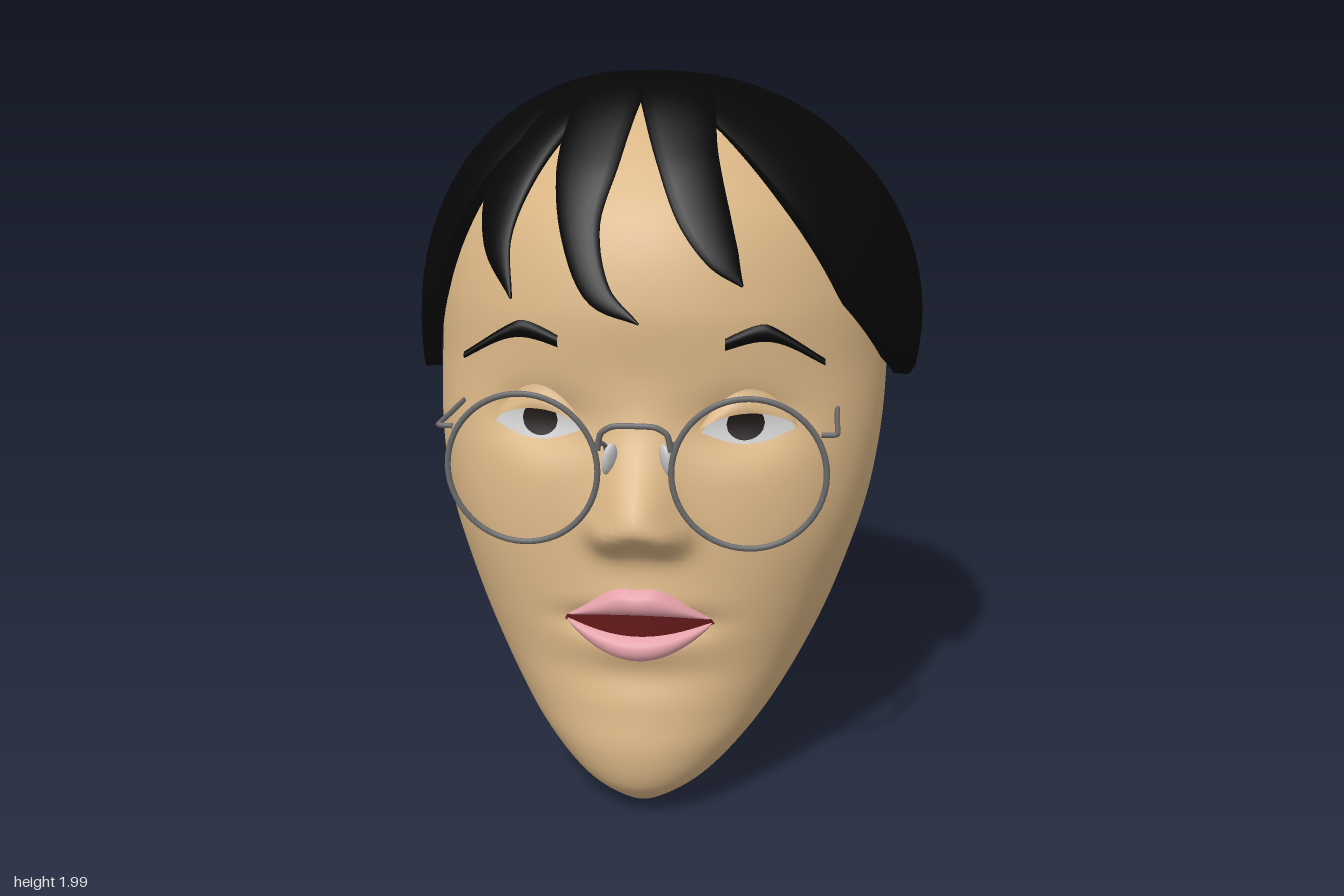
import * as THREE from 'three';
import { mergeVertices } from 'three/addons/utils/BufferGeometryUtils.js';

const material = (color) => new THREE.MeshStandardMaterial({ color, side: THREE.DoubleSide });
const skin = material(0xd9b585), black = material(0x060606), white = material(0xd8d8d8), iris = material(0x1c1412);
const lip = material(0xe3a0a8), mouthRed = material(0x621818), metal = material(0x6a6a6a), pad = material(0xc4c4c4);

function add(group, name, geometry, mat) {
  const mesh = new THREE.Mesh(geometry, mat);
  mesh.name = name;
  group.add(mesh);
  return mesh;
}

// Surface from a rule f(u, v) -> [x, y, z]
function grid(nu, nv, f) {
  const pos = [], index = [];
  for (let j = 0; j <= nv; j++) for (let i = 0; i <= nu; i++) pos.push(...f(i / nu, j / nv, i, j));
  for (let j = 0; j < nv; j++) for (let i = 0; i < nu; i++) {
    const a = j * (nu + 1) + i, c = a + nu + 1;
    index.push(a, a + 1, c, a + 1, c + 1, c);
  }
  const g = new THREE.BufferGeometry();
  g.setAttribute('position', new THREE.Float32BufferAttribute(pos, 3));
  g.setIndex(index);
  g.computeVertexNormals();
  return g;
}

// Interpolation of column k in a table sorted by its first column: smooth, or straight for sharp corners
function lookup(t, x, k = 1, straight = false) {
  let i = 0;
  while (i < t.length - 2 && x > t[i + 1][0]) i++;
  const h = t[i + 1][0] - t[i][0], s = Math.min(Math.max((x - t[i][0]) / h, 0), 1), s2 = s * s, s3 = s2 * s;
  if (straight) return t[i][k] + (t[i + 1][k] - t[i][k]) * s;
  const slope = (n) => {
    const a = t[Math.max(n - 1, 0)], b = t[Math.min(n + 1, t.length - 1)];
    return (b[k] - a[k]) / (b[0] - a[0]);
  };
  return (2 * s3 - 3 * s2 + 1) * t[i][k] + (s3 - 2 * s2 + s) * h * slope(i)
    + (3 * s2 - 2 * s3) * t[i + 1][k] + (s3 - s2) * h * slope(i + 1);
}

// Head sections: height, half width, front z, back z
const SECTIONS = [[0, 0, .48, .48], [.01, .05, .6, .36], [.04, .12, .67, .27], [.1, .21, .73, .15], [.2, .315, .75, -.04],
  [.3, .395, .735, -.2], [.45, .485, .71, -.38], [.6, .55, .7, -.51], [.8, .615, .69, -.6], [1, .65, .665, -.65],
  [1.2, .66, .635, -.68], [1.4, .65, .63, -.68], [1.6, .59, .565, -.62], [1.75, .48, .445, -.53],
  [1.85, .36, .32, -.42], [1.92, .2, .17, -.25], [1.95, 0, -.03, -.03]];

const bump = (a, b = 0) => Math.exp(-a * a - b * b);

// Nose, nostrils, eye sockets and mouth as relief on the face
function relief(x, y) {
  const ax = Math.abs(x), dy = y - .85;
  return .125 * bump((ax / (dy > 0 ? .105 - .15 * Math.min(dy, .3) : .105)) ** 1.3, dy / (dy > 0 ? .15 : .07))
    + .035 * bump((ax - .09) / .045, (y - .81) / .045)
    - .052 * bump((ax - .27) / .14, (y - 1.09) / .08)
    + .03 * bump(x / .17, (y - .57) / .11)
    - .08 * bump(x / .15, (y - .565) / .035)
    - .015 * bump(x / .2, (y - .42) / .05);
}

// The front is fuller than an ellipse around the cheeks
function headPoint(angle, y) {
  const w = Math.max(lookup(SECTIONS, y, 1), 0), zf = lookup(SECTIONS, y, 2), zb = lookup(SECTIONS, y, 3);
  const sin = Math.sin(angle), c = Math.cos(angle), x = w * sin, n = 2.02 + .58 * bump((y - .8) / .43);
  const depth = c > 0 ? Math.max(0, 1 - Math.abs(sin) ** n) ** (1 / n) : c;
  return [x, y, (zf + zb) / 2 + (zf - zb) / 2 * depth + (c > 0 ? relief(x, y) * Math.min(1, c * 3) : 0)];
}

const faceZ = (x, y) => headPoint(Math.asin(x / lookup(SECTIONS, y, 1)), y)[2];

// Patch that follows the face between two height curves
function facePatch(x0, x1, low, high, lift, base = faceZ) {
  return grid(24, 8, (u, v) => {
    const x = x0 + (x1 - x0) * u, y = low(u) + (high(u) - low(u)) * v;
    return [x, y, base(x, y) + lift(u, v)];
  });
}

const arch = (u) => Math.sqrt(Math.max(0, 1 - (2 * u - 1) ** 2));
const hump = (u) => Math.max(0, Math.sin(Math.PI * u));

function buildFace() {
  const face = new THREE.Group();
  face.name = 'face';
  const head = mergeVertices(grid(144, 130, (u, v) =>
    headPoint((u * 2 - 1) * Math.PI, 1.95 * (.6 * v + .4 * (1 - Math.cos(Math.PI * v)) / 2))), 1e-5);
  head.computeVertexNormals();
  add(face, 'head', head, skin);

  // Half-closed eyes with lids, irises and brows
  for (const [side, s] of [['left', 1], ['right', -1]]) {
    const top = (u) => 1.075 + .055 * hump(u) ** .6, bottom = (u) => 1.075 - .032 * hump(u);
    const ball = (x, y) => faceZ(x, y) + .005 + .02 * bump((Math.abs(x) - .28) / .1, (y - 1.09) / .07);
    add(face, side + 'Eye', facePatch(s * .16, s * .405, bottom, top, () => 0, ball), white);
    add(face, side + 'Iris', facePatch(s * .225, s * .325, (u) => 1.095 - .042 * arch(u),
      (u) => Math.min(1.095 + .042 * arch(u), 1.129), () => .005, ball), iris);
    add(face, side + 'UpperLid', facePatch(s * .15, s * .415, (u) => top(u) - .006, (u) => top(u) + .07 * hump(u),
      (u, v) => -.004 + .042 * Math.sqrt(hump(u)) * (1 + Math.cos(v * Math.PI)) / 2), skin);
    const browTop = [[0, 1.325], [.3, 1.358], [.45, 1.358], [1, 1.27]];
    const browLow = [[0, 1.293], [.35, 1.315], [.6, 1.305], [1, 1.252]];
    add(face, side + 'Brow', facePatch(s * .22, s * .48, (u) => lookup(browLow, u), (u) => lookup(browTop, u),
      (u, v) => .004 + .012 * Math.sqrt(hump(v)), (x, y) => Math.max(faceZ(x, y), .6 - .12 * (Math.abs(x) - .22))), black);
  }

  // Open mouth
  const upper = (u) => .575 + .022 * hump(u), lower = (u) => .567 - .03 * hump(u);
  const mouthZ = (x) => faceZ(x, .49) * .5 + faceZ(x, .65) * .5 - .018 * (x / .2) ** 2;
  add(face, 'mouthOpening', facePatch(-.22, .22, (u) => lower(u) - .012 * hump(u), (u) => upper(u) + .012 * hump(u),
    (u) => .012 - .022 * hump(u), mouthZ), mouthRed);
  const lipLift = (u, v) => .006 + .03 * Math.sqrt(hump(u) * hump(v));
  const cupid = (u) => .575 + .105 * hump(u) ** 1.2 - .012 * bump((u - .5) / .08);
  add(face, 'upperLip', facePatch(-.2, .2, upper, cupid, lipLift, mouthZ), lip);
  add(face, 'lowerLip', facePatch(-.2, .2, (u) => .567 - .1 * hump(u) ** .8, lower, lipLift, mouthZ), lip);
  return face;
}

function wire(points, r = .009) {
  const curve = new THREE.CatmullRomCurve3(points.map((p) => new THREE.Vector3(...p)), false, 'catmullrom', .3);
  return new THREE.TubeGeometry(curve, 32, r, 8);
}

// Round wire glasses
function buildGlasses() {
  const glasses = new THREE.Group();
  glasses.name = 'glasses';
  for (const [side, s] of [['left', 1], ['right', -1]]) {
    const rim = add(glasses, side + 'Rim', new THREE.TorusGeometry(.198, .008, 8, 56), metal);
    rim.position.set(s * .293, 1.003, .758);
    rim.rotation.y = s * .04;
    add(glasses, side + 'Temple', wire([[s * .475, 1.11, .75], [s * .505, 1.11, .748], [s * .515, 1.11, .735],
      [s * .515, 1.108, .6], [s * .515, 1.108, .435]], .007), metal);
    add(glasses, side + 'PadArm', wire([[s * .107, 1.06, .76], [s * .1, 1.07, .725], [s * .085, 1.055, .70], [s * .08, 1.02, .69]], .006), metal);
    const nosePad = add(glasses, side + 'NosePad', new THREE.SphereGeometry(1, 16, 12), pad);
    nosePad.scale.set(.014, .045, .026);
    nosePad.position.set(s * .075, 1.015, .69);
    nosePad.rotation.set(0, s * .6, s * .2);
  }
  add(glasses, 'bridge', wire([[-.095, 1.06, .766], [-.085, 1.105, .77], [-.05, 1.125, .772], [.05, 1.125, .772],
    [.085, 1.105, .77], [.095, 1.06, .766]], .008), metal);
  return glasses;
}

// Hair locks fanning out from the crown: widest line from one x, z to another, its bulge,
// and the hem as [position across, height]
const LOCKS = {
  leftFrontLock: { from: [.28, .59], to: [.715, 0], bulge: .13,
    hem: [[0, 1.87], [.15, 1.65], [.34, 1.39], [.6, 1.22], [.76, 1.15], [.85, 1.17], [1, 1.42]] },
  leftSideLock: { from: [.69, .04], to: [.58, -.41], bulge: .06,
    hem: [[0, 1.4], [.25, 1.27], [.42, 1.18], [.6, 1.18], [.85, 1.32], [1, 1.45]] },
  leftBackLock: { from: [.6, -.34], to: [.02, -.77], bulge: .06, hem: [[0, 1.6], [.1, 1.4], [.3, .93], [.7, .88], [.9, 1.2], [1, 1.25]] },
  rearLock: { from: [.11, -.82], to: [-.43, -.69], bulge: .02, hem: [[0, 1.1], [.1, .88], [.68, .87], [1, 1.12]] },
  rightBackLock: { from: [-.37, -.71], to: [-.7, -.29], bulge: .02, hem: [[0, 1.12], [.16, .93], [.62, .93], [.85, 1.2], [1, 1.25]] },
  rightSideLock: { from: [-.73, -.39], to: [-.7, .1], bulge: .01, hem: [[0, 1.25], [.15, 1.08], [.6, 1.02], [1, 1.35]] },
  rightFrontLock: { from: [-.71, .06], to: [-.48, .52], bulge: .095,
    hem: [[0, 1.4], [.2, 1.2], [.45, 1.17], [.65, 1.4], [.85, 1.7], [1, 1.87]] },
};
const CROWN = [-.1, -.08], HAIR_Y = 1.28, HAIR_H = .71, POWER = 2 / 2.1;

function buildLock({ from, to, bulge, hem }) {
  const N = 40, M = 22, dx = to[0] - from[0], dz = to[1] - from[1], length = Math.hypot(dx, dz);
  // The outer columns and last row fold inward to give the lock thickness
  return grid(N + 2, M + 1, (_, __, i, j) => {
    const u = Math.min(Math.max((i - 1) / N, 0), 1), v = Math.min(j / M, 1);
    const fold = i === 0 || i === N + 2 || j === M + 1 ? .94 : 1;
    const end = lookup(hem, u, 1, true);
    const reach = end < HAIR_Y ? Math.PI / 2 + (HAIR_Y - end) / HAIR_H : Math.acos(((end - HAIR_Y) / HAIR_H) ** (1 / POWER));
    const t = reach * v;
    let s, y;
    if (t <= Math.PI / 2) {
      s = Math.sin(t) ** POWER;
      y = HAIR_Y + HAIR_H * Math.max(0, Math.cos(t)) ** POWER;
    } else {
      y = HAIR_Y - HAIR_H * (t - Math.PI / 2);
      s = 1 - .6 * (HAIR_Y - y) ** 2;
    }
    const out = bulge * hump(u) ** .6 / length;
    const x = from[0] + dx * u - dz * out, z = from[1] + dz * u + dx * out;
    return [CROWN[0] + (x * fold - CROWN[0]) * s, y + .015 * hump(u) * Math.sin(Math.min(t * 2, Math.PI)),
      CROWN[1] + (z * fold - CROWN[1]) * s];
  });
}

// Fringe strands: x, y, z, half width
const FRINGE = {
  rightFringe: [[-.1, 1.97, -.13, .06], [-.28, 1.89, .23, .1], [-.4, 1.72, .4, .095], [-.425, 1.56, .51, .05], [-.375, 1.42, .6, .003]],
  middleFringe: [[-.1, 1.97, -.13, .08], [-.15, 1.94, .24, .1], [-.185, 1.76, .475, .09], [-.19, 1.6, .59, .055], [-.13, 1.45, .69, .035], [-.02, 1.385, .75, .003]],
  leftFringe: [[-.1, 1.97, -.13, .06], [.02, 1.94, .24, .1], [.075, 1.78, .455, .085], [.13, 1.63, .56, .072], [.185, 1.53, .61, .045], [.235, 1.465, .63, .003]],
};

function buildStrand(points) {
  const curve = new THREE.CatmullRomCurve3(points.map((p) => new THREE.Vector3(p[0], p[1], p[2])));
  const widths = points.map((p, i) => [i / (points.length - 1), p[3]]);
  return grid(16, 32, (u, v) => {
    const c = curve.getPoint(v), t = curve.getTangent(v), half = lookup(widths, v);
    const out = c.clone().sub(new THREE.Vector3(-.03, 1.2, 0)).normalize();
    const across = t.clone().cross(out).normalize(), up = across.clone().cross(t).normalize();
    const a = u * Math.PI * 2;
    return c.addScaledVector(across, half * Math.cos(a)).addScaledVector(up, (half * .2 + .004) * Math.sin(a)).toArray();
  });
}

export function createModel() {
  const model = new THREE.Group();
  model.name = 'headWithGlasses';
  const face = buildFace(), glasses = buildGlasses(), hair = new THREE.Group();
  face.position.x = glasses.position.x = -.03;
  hair.name = 'hair';
  for (const [name, lock] of Object.entries(LOCKS)) add(hair, name, buildLock(lock), black);
  for (const [name, points] of Object.entries(FRINGE)) add(hair, name, buildStrand(points), black);
  model.add(face, glasses, hair);
  return model;
}
